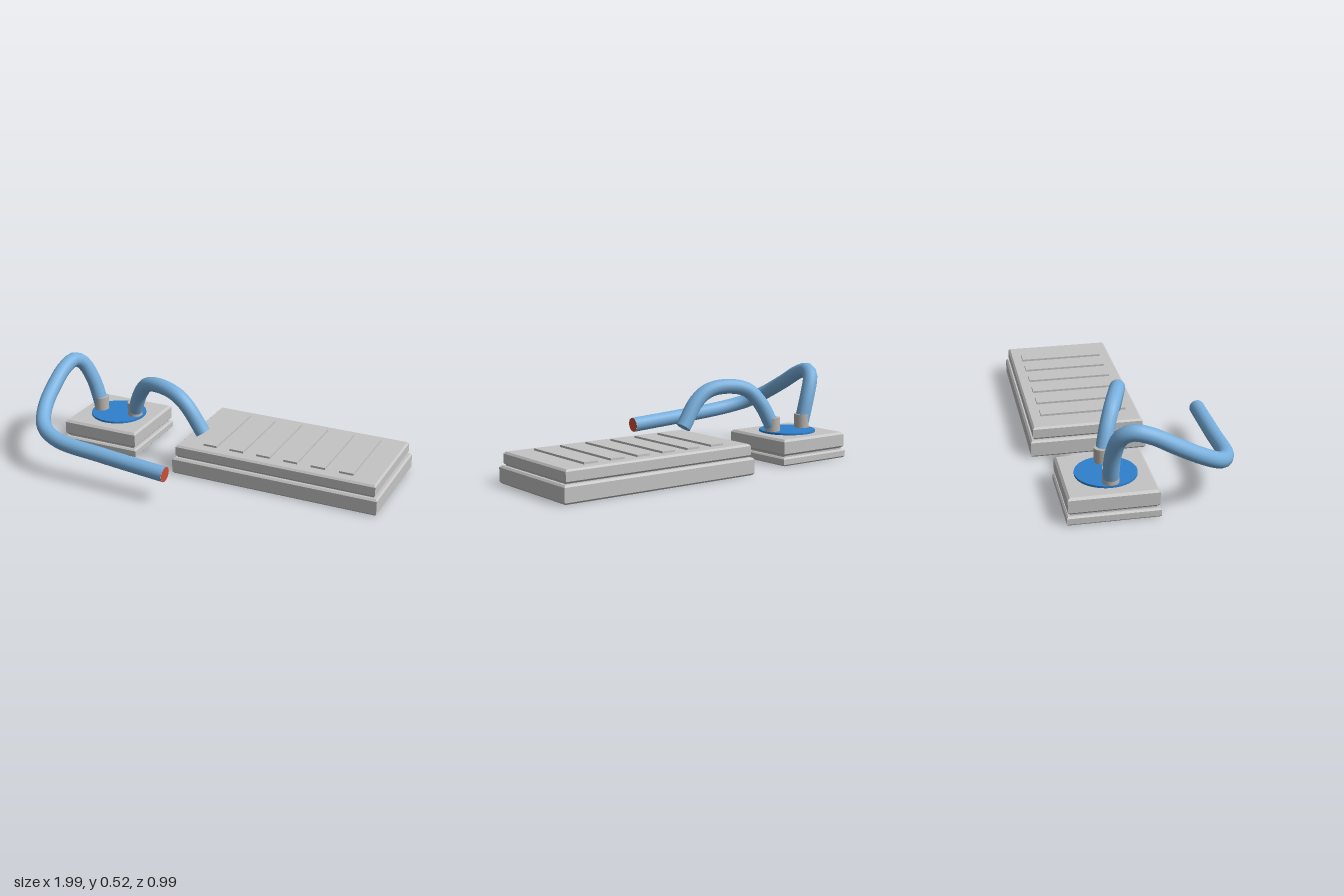
import * as THREE from 'three';

export function createModel() {
  const root = new THREE.Group();
  const mat = (name, color) => {
    const m = new THREE.MeshStandardMaterial({ color });
    m.name = name;
    return m;
  };
  const grey = mat('casing grey', 0xc4c4c4);
  const metal = mat('fitting grey', 0xbab6b2);
  const hoseBlue = mat('hose blue', 0x78b0de);
  const discBlue = mat('disc blue', 0x2f80cc);
  const red = mat('end red', 0xd0503a);

  const add = (name, geometry, material, parent = root) => {
    const mesh = new THREE.Mesh(geometry, material);
    mesh.name = name;
    parent.add(mesh);
    return mesh;
  };

  // Box with chamfered edges, given by its extents
  const slab = (name, x0, x1, y0, y1, z0, z1, c, parent) => {
    const w = (x1 - x0) / 2 - c, d = (z1 - z0) / 2 - c;
    const shape = new THREE.Shape([
      new THREE.Vector2(-w, -d), new THREE.Vector2(w, -d),
      new THREE.Vector2(w, d), new THREE.Vector2(-w, d),
    ]);
    const g = new THREE.ExtrudeGeometry(shape, {
      depth: y1 - y0 - 2 * c, bevelEnabled: true,
      bevelThickness: c, bevelSize: c, bevelSegments: 1,
    });
    g.translate(0, 0, c).rotateX(-Math.PI / 2);
    g.translate((x0 + x1) / 2, y0, (z0 + z1) / 2);
    return add(name, g, grey, parent);
  };
  const box = (name, x0, x1, y0, y1, z0, z1, parent) => {
    const g = new THREE.BoxGeometry(x1 - x0, y1 - y0, z1 - z0);
    g.translate((x0 + x1) / 2, (y0 + y1) / 2, (z0 + z1) / 2);
    return add(name, g, grey, parent);
  };

  // Large ribbed unit
  const large = new THREE.Group();
  large.name = 'largeUnit';
  root.add(large);
  slab('largeBase', -0.19, 0.995, 0, 0.095, -0.495, 0.135, 0.01, large);
  box('largeSeam', -0.165, 0.97, 0.09, 0.105, -0.47, 0.11, large);
  slab('largeLid', -0.175, 0.978, 0.098, 0.167, -0.48, 0.12, 0.01, large);
  for (let i = 0; i < 6; i++) {
    const x = 0.005 + i * 0.158;
    box('rib', x - 0.04, x + 0.04, 0.16, 0.178, -0.417, 0.055, large);
  }

  // Small square unit with round disc
  const small = new THREE.Group();
  small.name = 'smallUnit';
  root.add(small);
  slab('smallBase', -0.94, -0.47, 0, 0.047, -0.42, 0.05, 0.008, small);
  box('smallSeam', -0.92, -0.49, 0.04, 0.065, -0.4, 0.03, small);
  slab('smallBody', -0.934, -0.476, 0.055, 0.146, -0.414, 0.044, 0.012, small);
  add('disc', new THREE.CylinderGeometry(0.16, 0.16, 0.016, 40), discBlue, small)
    .position.set(-0.705, 0.149, -0.185);

  // Hose fittings
  for (const x of [-0.82, -0.595]) {
    add('hoseFitting', new THREE.CylinderGeometry(0.043, 0.043, 0.09, 20), metal, small)
      .position.set(x, 0.19, -0.182);
  }

  // Hoses, each closed by a disc at the free end
  const R = 0.042;
  const hose = (name, pts) => {
    const curve = new THREE.CatmullRomCurve3(pts.map(p => new THREE.Vector3(...p)));
    add(name, new THREE.TubeGeometry(curve, 48, R, 18), hoseBlue);
    const endDisc = (label, material, offset, r) => {
      const dir = curve.getTangent(1);
      const cap = add(label, new THREE.CircleGeometry(r, 18), material);
      cap.position.copy(curve.getPoint(1)).addScaledVector(dir, offset);
      cap.quaternion.setFromUnitVectors(new THREE.Vector3(0, 0, 1), dir);
    };
    return endDisc;
  };

  const longEnd = hose('longHose', [
    [-0.82, 0.18, -0.182], [-0.865, 0.33, -0.178], [-0.915, 0.44, -0.15],
    [-0.942, 0.474, -0.095], [-0.953, 0.45, 0], [-0.953, 0.395, 0.1],
    [-0.93, 0.31, 0.25], [-0.87, 0.247, 0.36], [-0.75, 0.212, 0.42],
    [-0.45, 0.185, 0.437], [-0.07, 0.16, 0.452],
  ]);
  longEnd('longHoseEnd', red, 0.001, R);

  const shortEnd = hose('shortHose', [
    [-0.595, 0.18, -0.182], [-0.535, 0.315, -0.145], [-0.465, 0.395, -0.107],
    [-0.355, 0.419, -0.065], [-0.245, 0.4, -0.034], [-0.17, 0.345, -0.022],
    [-0.075, 0.207, -0.022],
  ]);
  shortEnd('shortHoseEnd', hoseBlue, 0, R);

  return root;
}
